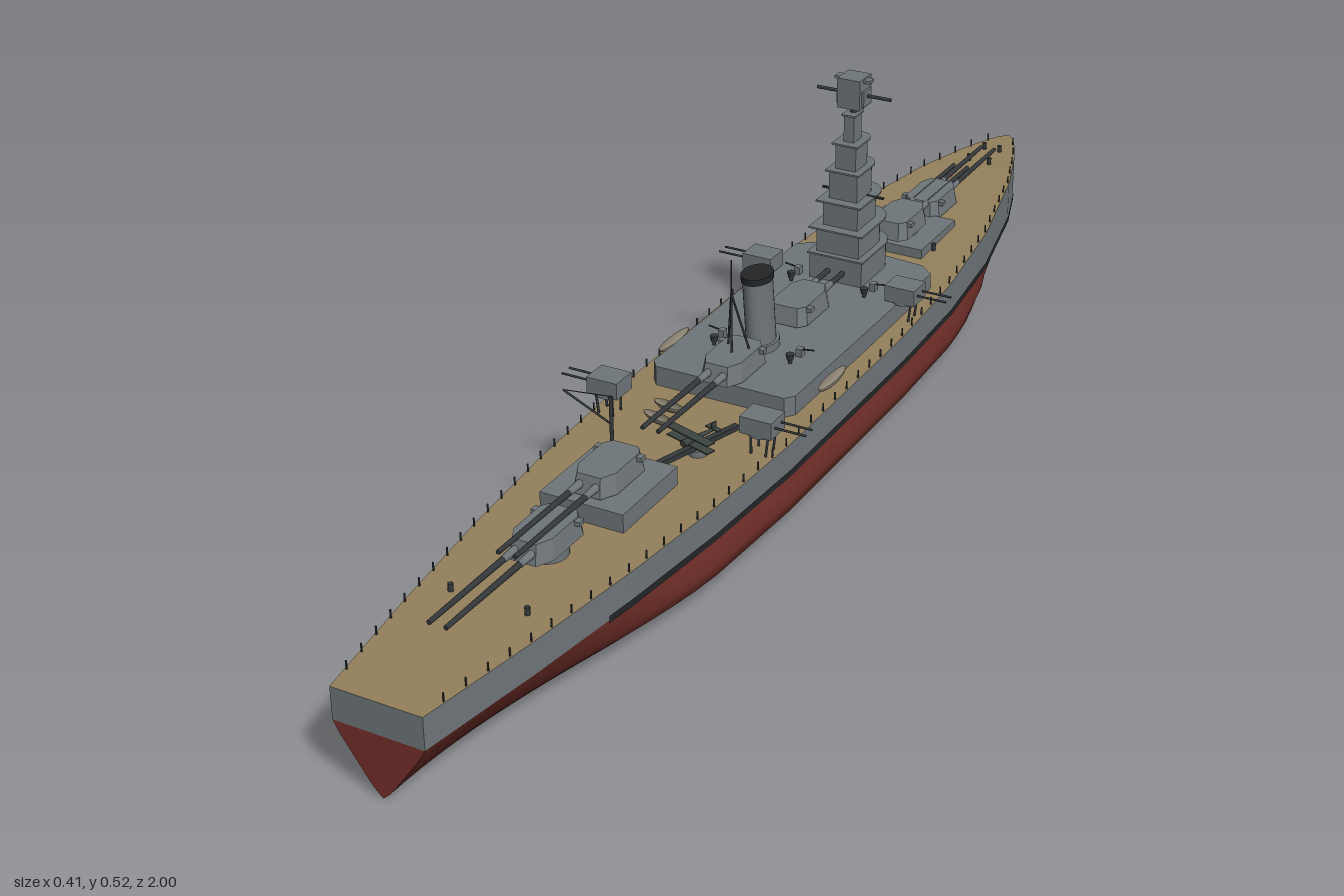
import * as THREE from 'three';
import { mergeGeometries } from 'three/addons/utils/BufferGeometryUtils.js';

const mat = (color, side = THREE.FrontSide) => new THREE.MeshStandardMaterial({ color, side });
const GREY = mat(0x6f767a), DECK = mat(0x94805c), RED = mat(0x74302a), BLACK = mat(0x232527);
const GUN = mat(0x34383b), PLANE = mat(0x3d4540), WOOD = mat(0x8a8272, THREE.DoubleSide);

const lerp = THREE.MathUtils.lerp, smooth = THREE.MathUtils.smoothstep;

function add(parent, name, geo, material, x = 0, y = 0, z = 0) {
  const m = new THREE.Mesh(geo, material);
  m.name = name;
  m.position.set(x, y, z);
  parent.add(m);
  return m;
}
const box = (p, name, w, h, d, material, x, y, z) => add(p, name, new THREE.BoxGeometry(w, h, d), material, x, y + h / 2, z);

// Straight round bar between two points
function rod(p, name, a, b, r, material = GUN, r2 = r) {
  const A = new THREE.Vector3(...a), B = new THREE.Vector3(...b), d = B.clone().sub(A);
  const m = add(p, name, new THREE.CylinderGeometry(r2, r, d.length(), 8), material);
  m.position.copy(A).add(B).multiplyScalar(0.5);
  m.quaternion.setFromUnitVectors(new THREE.Vector3(0, 1, 0), d.normalize());
  return m;
}

// Upright prism from a plan outline of [x, z] points
function prism(pts, h) {
  const s = new THREE.Shape(pts.map(([x, z]) => new THREE.Vector2(x, -z)));
  return new THREE.ExtrudeGeometry(s, { depth: h, bevelEnabled: false }).rotateX(-Math.PI / 2);
}
// Plan with a rounded forward end and a square after end
function roundedPlan(w, front, back) {
  const pts = [[w, back], [-w, back]];
  for (let i = 0; i <= 12; i++) {
    const a = Math.PI - (i / 12) * Math.PI;
    pts.push([w * Math.cos(a), front + w * (1 - Math.sin(a))]);
  }
  return pts;
}

// Surface through cross-sections at the given z stations
function loft(zs, section) {
  const pos = [], idx = [];
  let n = 0;
  zs.forEach((z, i) => {
    const row = section(z);
    n = row.length;
    row.forEach(([x, y]) => pos.push(x, y, z));
    if (i) for (let j = 0; j < n - 1; j++) {
      const a = (i - 1) * n + j, b = a + n;
      idx.push(a, b, a + 1, b, b + 1, a + 1);
    }
  });
  const g = new THREE.BufferGeometry();
  g.setAttribute('position', new THREE.Float32BufferAttribute(pos, 3));
  g.setIndex(idx);
  g.computeVertexNormals();
  return g;
}

// Half-breadth of the deck along the ship
const BEAM = [[-1, 0], [-0.985, 0.015], [-0.95, 0.033], [-0.9, 0.053], [-0.8, 0.085], [-0.6, 0.127], [-0.4, 0.149],
  [-0.2, 0.156], [0.2, 0.156], [0.4, 0.146], [0.6, 0.127], [0.8, 0.101], [1, 0.07]];
function beam(z) {
  let i = 1;
  while (i < BEAM.length - 1 && BEAM[i][0] < z) i++;
  const [a, b] = [BEAM[i - 1], BEAM[i]];
  return lerp(a[1], b[1], (z - a[0]) / (b[0] - a[0]));
}
const deckY = z => 0.147 + 0.026 * smooth(-z, 0.1, 1.05);

const LOW_Y = [0.097, 0.078, 0.055, 0.035, 0.02, 0.009, 0];
const FULL = [1, 1.02, 1.035, 1, 0.88, 0.64, 0], VEE = [1, 0.85, 0.62, 0.42, 0.27, 0.14, 0];
function bottomSection(z) {
  const t = z > 0 ? smooth(z, 0.4, 1) : smooth(-z, 0.45, 1);
  const half = LOW_Y.map((y, i) => [beam(z) * lerp(FULL[i], VEE[i], t), y]);
  return [...half, ...half.slice(0, -1).reverse().map(([x, y]) => [-x, y])];
}

function buildHull(root) {
  const hull = new THREE.Group();
  hull.name = 'hull';
  root.add(hull);
  const zs = [-1, -0.985, -0.95];
  for (let i = 0; i <= 38; i++) zs.push(-0.9 + i * 0.05);
  add(hull, 'hullBottom', loft(zs, bottomSection), RED);
  add(hull, 'mainDeck', loft(zs, z => [[-beam(z), deckY(z)], [beam(z), deckY(z)]]), DECK);
  const bandZ = zs.filter(z => z < 0.66);
  for (const s of [1, -1]) {
    const wall = (y0, y1, out) => z => {
      const x = s * (beam(z) + out), r = [[x, y1(z)], [x, y0]];
      return s > 0 ? r : r.reverse();
    };
    add(hull, 'hullSide', loft(zs, wall(0.097, deckY, 0)), GREY);
    add(hull, 'waterlineBand', loft(bandZ, wall(0.094, () => 0.105, 0.0015)), BLACK);
  }
  // Flat stern: grey above, red below
  box(hull, 'transom', 0.14, 0.05, 0.002, GREY, 0, 0.097, 0.999);
  const v = new THREE.Shape(bottomSection(1).map(([x, y]) => new THREE.Vector2(x, y)).reverse());
  add(hull, 'lowerTransom', new THREE.ShapeGeometry(v), RED, 0, 0, 1);
  // Railing posts
  const posts = [];
  for (let z = -0.96; z < 1; z += 0.04)
    for (const s of [1, -1])
      posts.push(new THREE.BoxGeometry(0.002, 0.013, 0.002).translate(s * (beam(z) - 0.003), deckY(z) + 0.0065, z));
  add(hull, 'railingPosts', mergeGeometries(posts), GUN);
  // Bollards and vents on deck
  for (const [x, z] of [[0.015, -0.92], [0.02, -0.86], [0.072, -0.5], [0.06, 0.75]])
    for (const s of [1, -1])
      add(hull, 'bollard', new THREE.CylinderGeometry(0.004, 0.004, 0.012, 8), GUN, s * x, deckY(z) + 0.006, z);
}

// Twin-gun main turret facing +z in its own frame
function turret(root, name, y, z, dir, len) {
  const g = new THREE.Group();
  g.name = name;
  g.position.set(0, y, z);
  if (dir < 0) g.rotation.y = Math.PI;
  root.add(g);
  add(g, 'barbette', new THREE.CylinderGeometry(0.032, 0.032, 0.03, 20), GREY, 0, -0.011, 0);
  const geo = prism([[0.022, 0.06], [0.035, 0.035], [0.035, -0.04], [0.024, -0.055],
    [-0.024, -0.055], [-0.035, -0.04], [-0.035, 0.035], [-0.022, 0.06]], 0.03);
  // Roof drawn in so the walls slope
  const p = geo.attributes.position;
  for (let i = 0; i < p.count; i++) if (p.getY(i) > 0.02) p.setXYZ(i, p.getX(i) * 0.86, p.getY(i), p.getZ(i) * 0.88);
  geo.computeVertexNormals();
  add(g, 'gunhouse', geo, GREY);
  box(g, 'rangefinder', 0.078, 0.007, 0.012, GREY, 0, 0.021, -0.03);
  for (const s of [1, -1]) {
    rod(g, 'gunSleeve', [s * 0.013, 0.015, 0.04], [s * 0.013, 0.015, 0.085], 0.007, GREY, 0.005);
    rod(g, 'gunBarrel', [s * 0.013, 0.015, 0.08], [s * 0.013, 0.016, 0.06 + len], 0.0048, GUN, 0.0035);
  }
}

function buildTower(root) {
  const g = new THREE.Group();
  g.name = 'tower';
  root.add(g);
  // Tier: half-width, front z, back z, bottom, top, platform overhang
  for (const [w, f, b, y0, y1, o] of [[0.047, -0.398, -0.268, 0.178, 0.225, 0.003], [0.038, -0.385, -0.275, 0.225, 0.27, 0.01],
    [0.031, -0.376, -0.283, 0.27, 0.315, 0.009], [0.025, -0.366, -0.292, 0.315, 0.365, 0.005],
    [0.018, -0.357, -0.3, 0.365, 0.41, 0.005], [0.009, -0.345, -0.31, 0.41, 0.457, 0.003]]) {
    add(g, 'towerTier', prism(roundedPlan(w, f, b), y1 - y0), GREY, 0, y0, 0);
    add(g, 'towerPlatform', prism(roundedPlan(w + o, f - o, b + o), 0.003), GREY, 0, y1 - 0.003, 0);
  }
  box(g, 'signalYard', 0.11, 0.003, 0.005, GUN, 0, 0.313, -0.33);
  rod(g, 'topPost', [0, 0.45, -0.327], [0, 0.47, -0.327], 0.006);
  box(g, 'directorHead', 0.04, 0.05, 0.042, GREY, 0, 0.468, -0.327);
  box(g, 'directorRoof', 0.062, 0.005, 0.016, GREY, 0, 0.511, -0.327);
  rod(g, 'rangefinderArm', [-0.065, 0.488, -0.327], [0.065, 0.488, -0.327], 0.003);
  for (const s of [1, -1]) box(g, 'directorCheek', 0.006, 0.026, 0.028, GREY, s * 0.021, 0.472, -0.327);
}

function buildFunnel(root) {
  const g = new THREE.Group();
  g.name = 'funnel';
  root.add(g);
  const tube = (name, r, y0, y1, m, open) => {
    const geo = new THREE.CylinderGeometry(r, r, y1 - y0, 28, 1, open).scale(0.8, 1, 1.1).translate(0, (y0 + y1) / 2, 0);
    const p = geo.attributes.position;
    for (let i = 0; i < p.count; i++) p.setZ(i, p.getZ(i) - 0.012 + (p.getY(i) - 0.178) * 0.11);
    add(g, name, geo, m);
  };
  tube('funnelBase', 0.033, 0.178, 0.192, GREY);
  tube('funnelCasing', 0.027, 0.178, 0.302, GREY);
  tube('funnelCap', 0.029, 0.3, 0.311, BLACK);
}

// Twin secondary mount firing outboard on side s
function sideMount(root, s, z) {
  const g = new THREE.Group();
  g.name = 'sideGunMount';
  g.position.set(s * 0.129, 0, z);
  root.add(g);
  box(g, 'gunShield', 0.052, 0.027, 0.044, GREY, 0, 0.182, 0);
  add(g, 'mountPlatform', new THREE.CylinderGeometry(0.022, 0.022, 0.004, 16), GREY, 0, 0.18, 0);
  for (const e of [1, -1]) {
    rod(g, 'sideGun', [s * 0.02, 0.197, e * 0.01], [s * 0.076, 0.197, e * 0.01], 0.0018);
    rod(g, 'mountLeg', [s * 0.016, 0.18, e * 0.012], [s * 0.012, 0.146, e * 0.012], 0.002);
    rod(g, 'mountLeg', [-s * 0.012, 0.18, e * 0.012], [-s * 0.012, 0.146, e * 0.012], 0.002);
  }
}

function buildFittings(root) {
  // Pole mast with two struts
  const mast = new THREE.Group();
  mast.name = 'mast';
  root.add(mast);
  rod(mast, 'mastPole', [0, 0.18, 0.085], [0, 0.365, 0.085], 0.0022, GUN, 0.0012);
  for (const s of [1, -1]) rod(mast, 'mastStrut', [s * 0.02, 0.2, 0.06], [0, 0.31, 0.085], 0.0017);
  // Boat crane
  const crane = new THREE.Group();
  crane.name = 'crane';
  root.add(crane);
  rod(crane, 'cranePost', [-0.046, 0.147, 0.36], [-0.046, 0.255, 0.36], 0.003);
  rod(crane, 'craneBoom', [-0.046, 0.21, 0.36], [-0.112, 0.26, 0.382], 0.0016);
  rod(crane, 'craneStay', [-0.046, 0.255, 0.36], [-0.112, 0.26, 0.382], 0.0007);
  // Catapult carrying a small floatplane
  const cat = new THREE.Group();
  cat.name = 'catapult';
  cat.position.set(0.05, 0.147, 0.28);
  cat.rotation.y = -0.3;
  cat.scale.z = -1;
  cat.scale.x = -1;
  root.add(cat);
  add(cat, 'turntable', new THREE.CylinderGeometry(0.014, 0.014, 0.01, 16), GREY, 0, 0.005, 0);
  box(cat, 'catapultRail', 0.01, 0.008, 0.16, GUN, 0, 0.01, 0);
  rod(cat, 'planeBody', [0, 0.028, -0.03], [0, 0.028, 0.035], 0.006, PLANE, 0.002);
  for (const y of [0.023, 0.036]) box(cat, 'planeWing', 0.085, 0.002, 0.016, PLANE, 0, y, -0.014);
  box(cat, 'planeTail', 0.026, 0.002, 0.009, PLANE, 0, 0.029, 0.032);
  box(cat, 'planeFin', 0.002, 0.012, 0.009, PLANE, 0, 0.028, 0.032);
  // Open boats: two at the sides, two stowed on deck
  const boatGeo = new THREE.SphereGeometry(1, 16, 8, 0, Math.PI * 2, Math.PI / 2, Math.PI / 2);
  for (const [x, y, z, len, r] of [[0.138, 0.172, 0.02, 0.045, 0], [-0.138, 0.172, 0.02, 0.045, 0],
    [-0.05, 0.16, 0.19, 0.028, 1.4], [-0.045, 0.16, 0.23, 0.03, 1.3]]) {
    const boat = add(root, 'boat', boatGeo, WOOD, x, y, z);
    boat.scale.set(0.009, 0.012, len);
    boat.rotation.y = r;
  }
  // Searchlights and light guns
  for (const s of [1, -1]) for (const z of [-0.24, 0.02]) {
    rod(root, 'lampStand', [s * 0.066, 0.178, z], [s * 0.066, 0.186, z], 0.003);
    add(root, 'searchlight', new THREE.CylinderGeometry(0.007, 0.005, 0.01, 12), GUN, s * 0.066, 0.19, z);
    rod(root, 'lightGun', [s * 0.07, 0.19, z - 0.03], [s * 0.092, 0.193, z - 0.03], 0.0014);
    box(root, 'lightGunMount', 0.01, 0.014, 0.012, GREY, s * 0.068, 0.178, z - 0.03);
  }
}

export function createModel() {
  const root = new THREE.Group();
  root.name = 'battleship';
  buildHull(root);
  // Raised deckhouse with a chamfered forward end
  add(root, 'deckhouse', prism([[0.122, 0.11], [0.11, 0.125], [-0.11, 0.125], [-0.122, 0.11], [-0.125, -0.37],
    [-0.1, -0.392], [0, -0.402], [0.1, -0.392], [0.125, -0.37]], 0.035), GREY, 0, 0.144, 0);
  for (const [z, d, h] of [[-0.53, 0.14, 0.026], [0.445, 0.15, 0.03]])
    box(root, 'turretPlatform', 0.135, h, d, GREY, 0, 0.146, z);
  buildTower(root);
  buildFunnel(root);
  turret(root, 'foreTurretLow', 0.167, -0.645, -1, 0.195);
  turret(root, 'foreTurretHigh', 0.178, -0.515, -1, 0.2);
  turret(root, 'midForeTurret', 0.182, -0.14, -1, 0.19);
  turret(root, 'midAftTurret', 0.182, 0.08, 1, 0.19);
  turret(root, 'aftTurretHigh', 0.179, 0.445, 1, 0.2);
  turret(root, 'aftTurretLow', 0.163, 0.61, 1, 0.195);
  for (const s of [1, -1]) for (const z of [-0.26, 0.23]) sideMount(root, s, z);
  buildFittings(root);
  return root;
}
